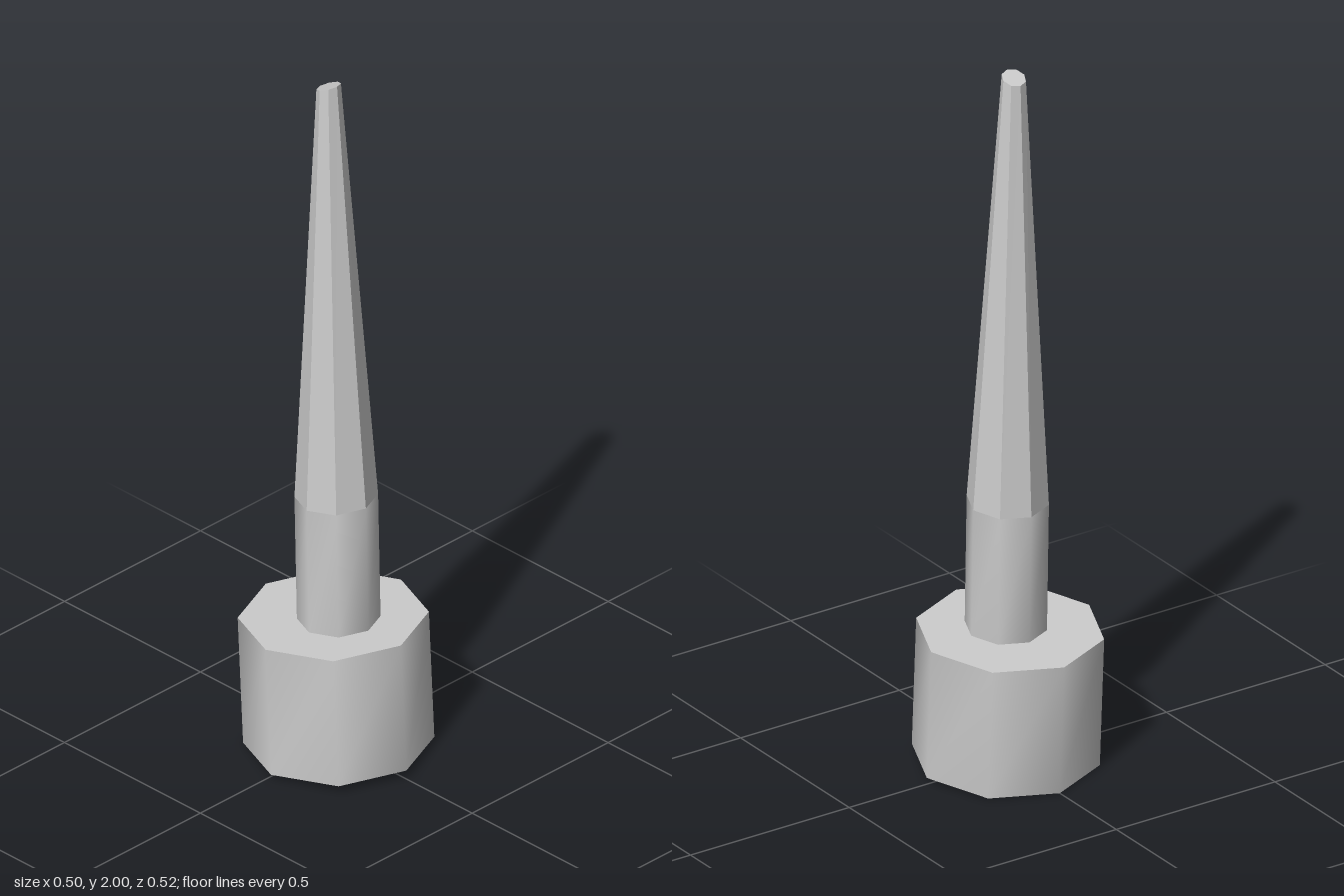
import * as THREE from 'three';

const SIDES = 8;

// One octagonal ring; tilt raises its front edge and lowers its back edge.
function ring({ y, z, r, tilt }) {
  return Array.from({ length: SIDES }, (_, i) => {
    const a = (i / SIDES) * Math.PI * 2;
    const along = r * Math.cos(a);
    return [r * Math.sin(a), y + along * Math.sin(tilt), z + along * Math.cos(tilt)];
  });
}

function toMesh(name, points, index, flatShading) {
  const geometry = new THREE.BufferGeometry();
  geometry.setAttribute('position', new THREE.Float32BufferAttribute(points.flat(), 3));
  geometry.setIndex(index);
  geometry.computeVertexNormals();
  const material = new THREE.MeshStandardMaterial({ color: 0xcccccc, flatShading, side: THREE.DoubleSide });
  const mesh = new THREE.Mesh(geometry, material);
  mesh.name = name;
  return mesh;
}

// Side wall between two rings.
function wall(name, lower, upper, flatShading = false) {
  const index = [];
  for (let i = 0; i < SIDES; i++) {
    const j = (i + 1) % SIDES;
    index.push(i, j, SIDES + j, i, SIDES + j, SIDES + i);
  }
  return toMesh(name, [...ring(lower), ...ring(upper)], index, flatShading);
}

// Upward-facing cap filling a ring.
function cap(name, section) {
  const index = [];
  for (let i = 0; i < SIDES; i++) index.push(SIDES, i, (i + 1) % SIDES);
  return toMesh(name, [...ring(section), [0, section.y, section.z]], index, true);
}

export function createModel() {
  const baseBottom = { y: 0.015, z: 0.009, r: 0.249, tilt: 0.051 };
  const baseTop = { y: 0.387, z: -0.011, r: 0.249, tilt: 0.051 };
  const shaftBottom = { y: 0.387, z: 0.009, r: 0.109, tilt: 0.051 };
  const shaftTop = { y: 0.755, z: 0, r: 0.109, tilt: 0.06 };
  const tip = { y: 1.988, z: -0.028, r: 0.033, tilt: 0.36 };

  const model = new THREE.Group();
  model.name = 'taperedSpike';
  model.add(
    // Wide base, open underneath
    wall('baseWall', baseBottom, baseTop),
    cap('baseTop', baseTop),
    // Narrow neck
    wall('neck', shaftBottom, shaftTop),
    // Faceted spike with a slanted tip
    wall('spike', shaftTop, tip, true),
    cap('spikeTip', tip)
  );
  return model;
}
